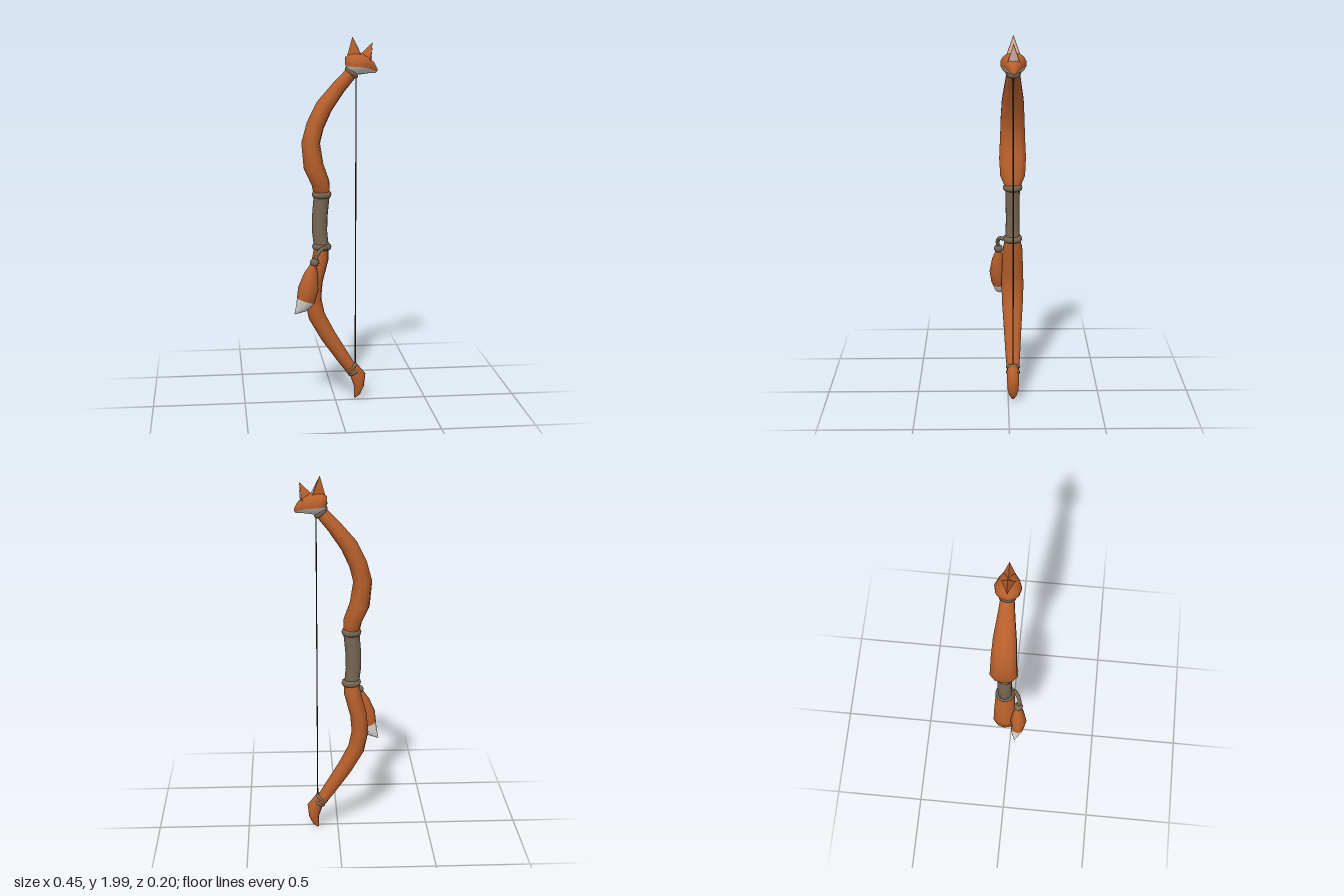
import * as THREE from 'three';
import { mergeVertices } from 'three/addons/utils/BufferGeometryUtils.js';

const mat = (name, color) => {
  const m = new THREE.MeshStandardMaterial({ color });
  m.name = name;
  return m;
};

// Skin through elliptical sections [x, y, z, half depth in xy, half width in z]
function loft(sections, sides = 10, from = 0, to = Math.PI * 2) {
  const pos = [], index = [];
  sections.forEach(([x, y, z, h, w], i) => {
    const a = sections[Math.max(i - 1, 0)], b = sections[Math.min(i + 1, sections.length - 1)];
    const len = Math.hypot(b[0] - a[0], b[1] - a[1]);
    const nx = -(b[1] - a[1]) / len, ny = (b[0] - a[0]) / len;
    for (let j = 0; j <= sides; j++) {
      const t = from + (to - from) * j / sides, c = Math.cos(t) * h;
      pos.push(x + nx * c, y + ny * c, z + Math.sin(t) * w);
    }
  });
  const row = sides + 1;
  for (let i = 0; i < sections.length - 1; i++) {
    for (let j = 0; j < sides; j++) {
      const p = i * row + j, q = p + row;
      index.push(p, p + 1, q, p + 1, q + 1, q);
    }
  }
  const g = new THREE.BufferGeometry();
  g.setAttribute('position', new THREE.Float32BufferAttribute(pos, 3));
  g.setIndex(index);
  const merged = mergeVertices(g, 1e-5);
  merged.computeVertexNormals();
  return merged;
}

function triangles(points) {
  const g = new THREE.BufferGeometry();
  g.setAttribute('position', new THREE.Float32BufferAttribute(points.flat(), 3));
  g.computeVertexNormals();
  return g;
}

export function createModel() {
  const group = new THREE.Group();
  const fur = mat('orange fur', 0xb9602c);
  const white = mat('white fur', 0xdedad4);
  const pale = mat('pale inner ear', 0xcdb0a0);
  const leather = mat('grey brown leather', 0x786753);
  const dark = mat('dark string', 0x38291f);
  const Z = -0.026;
  const add = (name, geometry, material) => {
    const m = new THREE.Mesh(geometry, material);
    m.name = name;
    group.add(m);
    return m;
  };
  const flat = (list) => list.map(([x, y, h, w]) => [x, y, Z, h, w]);

  // Limbs and grip
  add('upperLimb', loft(flat([
    [-0.07, 1.15, 0.042, 0.038], [-0.078, 1.22, 0.049, 0.07], [-0.115, 1.31, 0.054, 0.076],
    [-0.13, 1.435, 0.05, 0.07], [-0.105, 1.53, 0.048, 0.067], [-0.057, 1.63, 0.046, 0.061],
    [0.02, 1.73, 0.038, 0.046], [0.1, 1.82, 0.032, 0.033],
  ])), fur);
  add('grip', loft(flat([
    [-0.073, 0.86, 0.04, 0.041], [-0.083, 0.95, 0.041, 0.039],
    [-0.083, 1.03, 0.042, 0.039], [-0.07, 1.17, 0.043, 0.041],
  ])), leather);
  add('lowerLimb', loft(flat([
    [0.105, 0.15, 0.03, 0.033], [0.045, 0.24, 0.037, 0.042], [-0.037, 0.365, 0.043, 0.051],
    [-0.1, 0.48, 0.046, 0.06], [-0.121, 0.58, 0.046, 0.064], [-0.112, 0.68, 0.045, 0.062],
    [-0.078, 0.81, 0.045, 0.056], [-0.073, 0.88, 0.039, 0.038],
  ])), fur);

  // Lower paw-like end
  add('lowerTip', loft(flat([
    [0.112, 0.004, 0.004, 0.004], [0.124, 0.03, 0.018, 0.02], [0.134, 0.07, 0.028, 0.031],
    [0.13, 0.13, 0.042, 0.035], [0.1, 0.185, 0.028, 0.032],
  ])), fur);

  // Bands around the grip and the limb ends
  const band = (name, x, y, tilt, r, tube, stretch) => {
    const g = new THREE.TorusGeometry(r, tube, 8, 16);
    g.scale(1, 1, stretch);
    g.rotateX(Math.PI / 2);
    const m = add(name, g, leather);
    m.position.set(x, y, Z);
    m.rotation.z = tilt;
  };
  band('upperGripBand', -0.072, 1.157, 0, 0.039, 0.014, 1.35);
  band('lowerGripBand', -0.072, 0.87, -0.05, 0.039, 0.014, 1.25);
  band('neckBand', 0.088, 1.808, -0.75, 0.033, 0.01, 1.3);
  for (const s of [-1, 1]) band('lowerTipBand', 0.097 - s * 0.008, 0.17 + s * 0.012, 0.6, 0.03, 0.009, 1.1);

  // String
  const string = add('string', new THREE.CylinderGeometry(0.0035, 0.0035, 1.62, 6), dark);
  string.position.set(0.113, 0.99, Z);

  // Head: orange crown and white jaw share the same sections
  const head = flat([
    [0.055, 1.848, 0.001, 0.001], [0.062, 1.85, 0.04, 0.036], [0.085, 1.853, 0.052, 0.058],
    [0.122, 1.853, 0.059, 0.068], [0.165, 1.845, 0.048, 0.05], [0.195, 1.83, 0.031, 0.03],
    [0.221, 1.814, 0.012, 0.011], [0.225, 1.813, 0.001, 0.001],
  ]);
  const jaw = 1.8;
  add('headCrown', loft(head, 8, -jaw, jaw), fur);
  add('headJaw', loft(head, 6, jaw, Math.PI * 2 - jaw), white);

  // Ears: orange shell with a slightly ridged pale inner face towards the snout
  const ear = (name, tip, back, front, w) => {
    const T = [tip[0], tip[1], Z], B = [back[0], back[1], Z];
    const L = [front[0], front[1], Z + w], R = [front[0], front[1], Z - w];
    add(name, triangles([B, L, T, R, B, T, L, R, T]), fur);
    const mid = [0, 1, 2].map((k) => (T[k] + L[k] + R[k]) / 3);
    const [l, r, t] = [L, R, T].map((p) => p.map((v, k) => mid[k] + (v - mid[k]) * 0.82 + (k === 0 ? 0.002 : 0)));
    const ridge = [l[0] + 0.008, l[1], Z];
    add(name + 'Inner', triangles([l, ridge, t, ridge, r, t]), pale);
  };
  ear('rearEar', [0.093, 1.996], [0.058, 1.87], [0.134, 1.895], 0.037);
  ear('frontEar', [0.2, 1.965], [0.132, 1.9], [0.184, 1.865], 0.032);

  // Hanging tail: the two lowest segments are white
  const tailSides = 8;
  const tail = loft([
    [-0.226, 0.513, 0.04, 0.002, 0.002], [-0.19, 0.55, 0.046, 0.034, 0.028], [-0.167, 0.59, 0.053, 0.05, 0.038],
    [-0.153, 0.66, 0.056, 0.055, 0.045], [-0.138, 0.735, 0.054, 0.038, 0.033], [-0.122, 0.8, 0.05, 0.012, 0.012],
  ], tailSides);
  tail.addGroup(0, 2 * tailSides * 6, 1);
  tail.addGroup(2 * tailSides * 6, 3 * tailSides * 6, 0);
  add('tail', tail, [fur, white]);

  // Cord and bead holding the tail
  const path = new THREE.CatmullRomCurve3([
    [-0.05, 0.87, 0.018], [-0.075, 0.872, 0.04], [-0.1, 0.85, 0.055], [-0.12, 0.8, 0.052],
  ].map((p) => new THREE.Vector3(...p)));
  add('tailCord', new THREE.TubeGeometry(path, 12, 0.011, 8), leather);
  const bead = add('tailBead', new THREE.SphereGeometry(0.025, 10, 8), leather);
  bead.position.set(-0.119, 0.8, 0.052);
  bead.scale.y = 0.9;

  return group;
}
